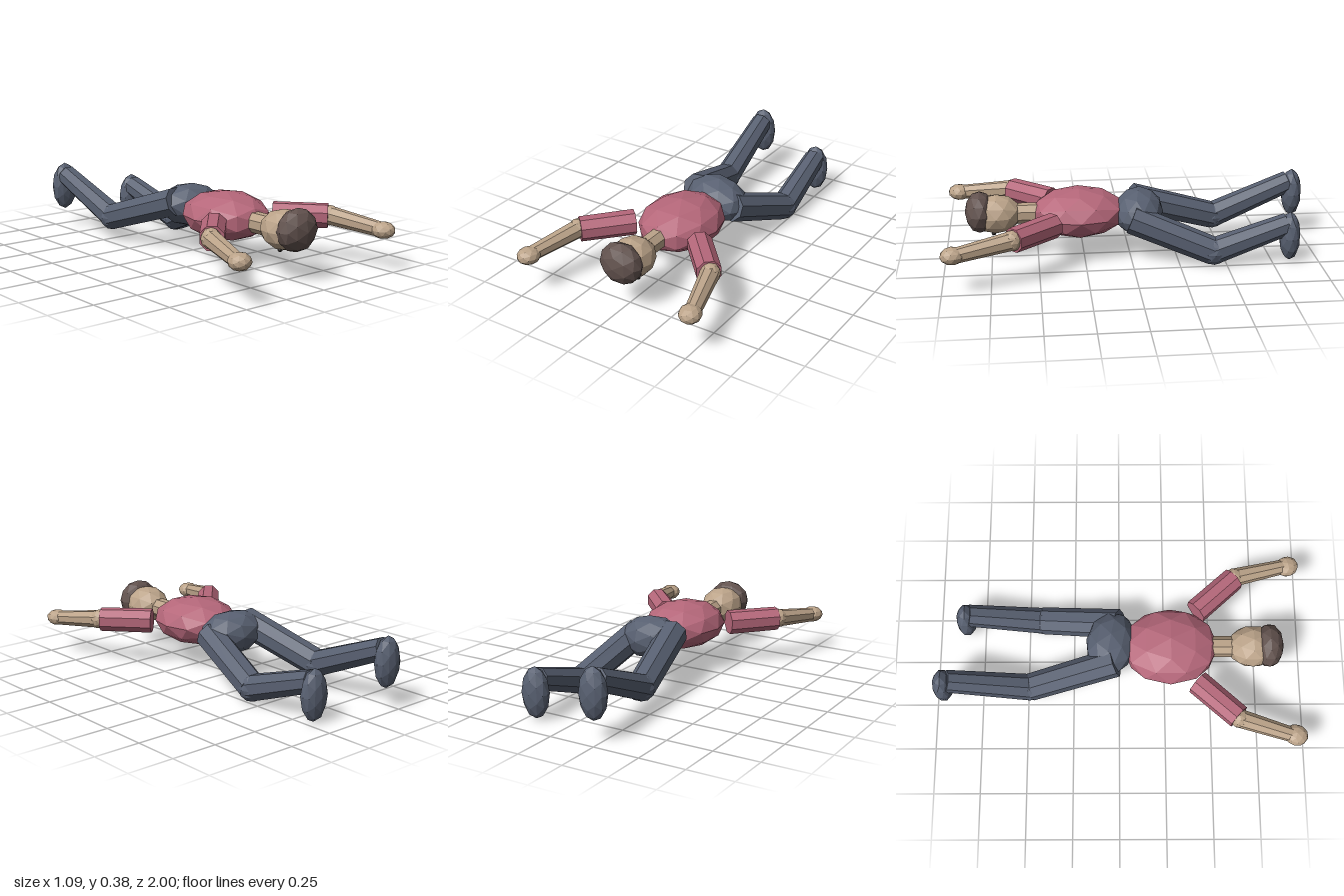
import * as THREE from 'three';

const mat = (name, color) => {
  const m = new THREE.MeshStandardMaterial({ color, flatShading: true });
  m.name = name;
  return m;
};

export function createModel() {
  const root = new THREE.Group();
  root.name = 'swimmingFigure';
  const shirt = mat('shirt rose', 0xb5677a);
  const trousers = mat('trousers slate', 0x586071);
  const skin = mat('skin tan', 0xbba389);
  const hair = mat('hair brown', 0x62524e);
  const dark = mat('eye dark', 0x2a2624);

  // Faceted ellipsoid
  const blob = (name, material, pos, radii, rot = [0, 0, 0]) => {
    const m = new THREE.Mesh(new THREE.IcosahedronGeometry(1, 1), material);
    m.name = name;
    m.position.set(...pos);
    m.scale.set(...radii);
    m.rotation.set(...rot);
    root.add(m);
  };

  // Eight-sided tapered limb from point a to point b, one flat side up
  const limb = (name, material, a, b, ra, rb) => {
    const p = new THREE.Vector3(...a), q = new THREE.Vector3(...b);
    const g = new THREE.CylinderGeometry(rb, ra, p.distanceTo(q), 8);
    g.rotateY(Math.PI / 8);
    g.rotateX(Math.PI / 2);
    const m = new THREE.Mesh(g, material);
    m.name = name;
    m.position.copy(p).lerp(q, 0.5);
    m.lookAt(q);
    root.add(m);
  };

  // Body, lying face down
  blob('torso', shirt, [0, 0.255, 0.275], [0.215, 0.13, 0.26]);
  blob('pelvis', trousers, [0.02, 0.255, -0.045], [0.185, 0.118, 0.135], [0, -0.18, -0.1]);

  // Head and neck
  limb('neck', skin, [0, 0.255, 0.48], [0, 0.255, 0.64], 0.056, 0.056);
  blob('head', skin, [0, 0.257, 0.72], [0.115, 0.105, 0.137]);
  blob('hair', hair, [0, 0.27, 0.808], [0.12, 0.112, 0.079]);

  for (const s of [1, -1]) {
    const side = s > 0 ? 'left' : 'right';
    blob(side + 'Eye', dark, [s * 0.043, 0.162, 0.735], [0.013, 0.01, 0.013]);
    // Arm stretched forwards
    const elbow = [s * 0.405, 0.257, 0.635], wrist = [s * 0.487, 0.22, 0.92];
    limb(side + 'UpperArm', shirt, [s * 0.203, 0.255, 0.418], [s * 0.397, 0.255, 0.632], 0.068, 0.066);
    blob(side + 'Elbow', skin, elbow, [0.052, 0.055, 0.052]);
    limb(side + 'Forearm', skin, elbow, wrist, 0.05, 0.04);
    blob(side + 'Hand', skin, [s * 0.487, 0.22, 0.935], [0.058, 0.045, 0.064], [0, s * 0.28, 0]);
  }

  // Legs, mid kick, with different poses
  const legs = [
    { side: 'left', hip: [0.135, 0.25, 0.0], knee: [0.22, 0.083, -0.43], ankle: [0.2, 0.215, -0.83], foot: [0.2, 0.147, -0.845] },
    { side: 'right', hip: [-0.1, 0.29, -0.02], knee: [-0.19, 0.138, -0.485], ankle: [-0.213, 0.315, -0.92], foot: [-0.215, 0.25, -0.943] },
  ];
  for (const { side, hip, knee, ankle, foot } of legs) {
    limb(side + 'Thigh', trousers, hip, knee, 0.08, 0.075);
    blob(side + 'Knee', trousers, knee, [0.075, 0.075, 0.075]);
    limb(side + 'Shin', trousers, knee, ankle, 0.072, 0.06);
    blob(side + 'Foot', trousers, foot, [0.077, 0.137, 0.056]);
  }
  return root;
}
